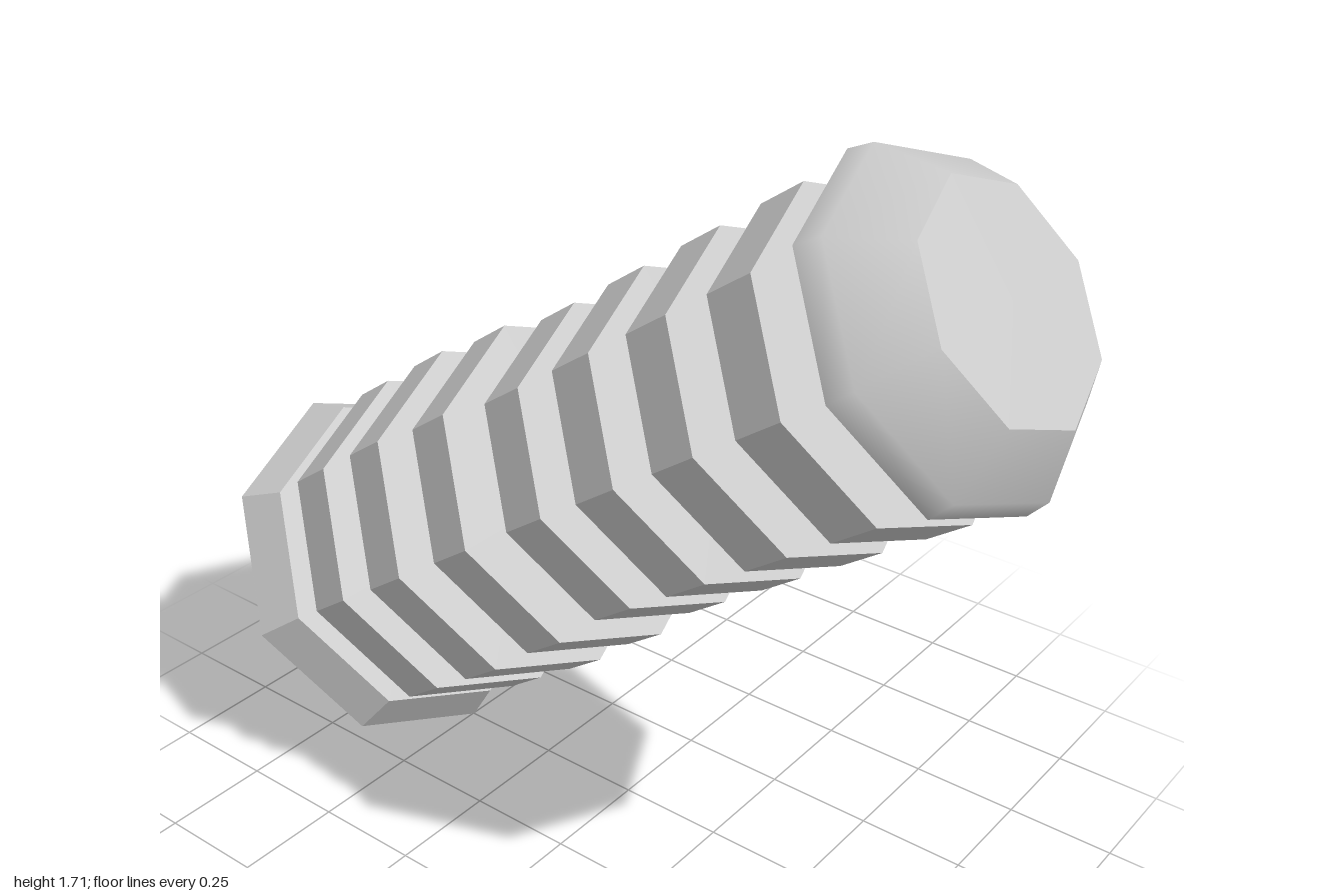
import * as THREE from 'three';

const SIDES = 8;
const flat = new THREE.MeshStandardMaterial({ color: 0xcccccc, flatShading: true });
const smooth = new THREE.MeshStandardMaterial({ color: 0xcccccc });

// Turned octagonal part from [radius, height] pairs, listed bottom to top
function turned(name, profile, material = flat) {
  const points = profile.map(([r, y]) => new THREE.Vector2(r, y));
  const mesh = new THREE.Mesh(new THREE.LatheGeometry(points, SIDES), material);
  mesh.name = name;
  return mesh;
}

// Closed octagonal disc, optionally flared
function disc(name, y0, y1, r0, r1 = r0) {
  return turned(name, [[0, y0], [r0, y0], [r1, y1], [0, y1]]);
}

// Flat octagonal lid facing up (1) or down (-1)
function lid(name, r, y, facing) {
  const mesh = new THREE.Mesh(new THREE.CircleGeometry(r, SIDES), flat);
  mesh.rotation.x = -facing * Math.PI / 2;
  mesh.position.y = y;
  mesh.name = name;
  return mesh;
}

export function createModel() {
  const model = new THREE.Group();
  model.name = 'finnedColumn';

  // Everything is built upright around y, then tilted as one
  const column = new THREE.Group();
  column.name = 'column';
  column.add(disc('shaft', -0.9, 0.9, 0.12));

  // Seven evenly spaced fins, slimmer towards the head
  const finRadii = [0.4, 0.4, 0.384, 0.357, 0.357, 0.357, 0.357];
  finRadii.forEach((r, i) => {
    const y = (i - 3) * 0.227;
    column.add(disc('fin' + (i + 1), y - 0.057, y + 0.057, r));
  });

  // Flared base flange with a smaller foot below it
  column.add(disc('baseFlange', -0.93, -0.827, 0.44, 0.395));
  column.add(disc('baseFoot', -0.987, -0.93, 0.32));

  // Domed head with flat ends
  const head = new THREE.Group();
  head.name = 'head';
  head.add(turned('headDome', [[0.372, 0.857], [0.36, 0.915], [0.25, 1.03]], smooth));
  head.add(lid('headTop', 0.25, 1.03, 1));
  head.add(lid('headUnderside', 0.372, 0.857, -1));
  column.add(head);

  column.rotation.z = THREE.MathUtils.degToRad(-55);
  column.position.set(0.012, 0.9, 0);
  model.add(column);
  return model;
}
